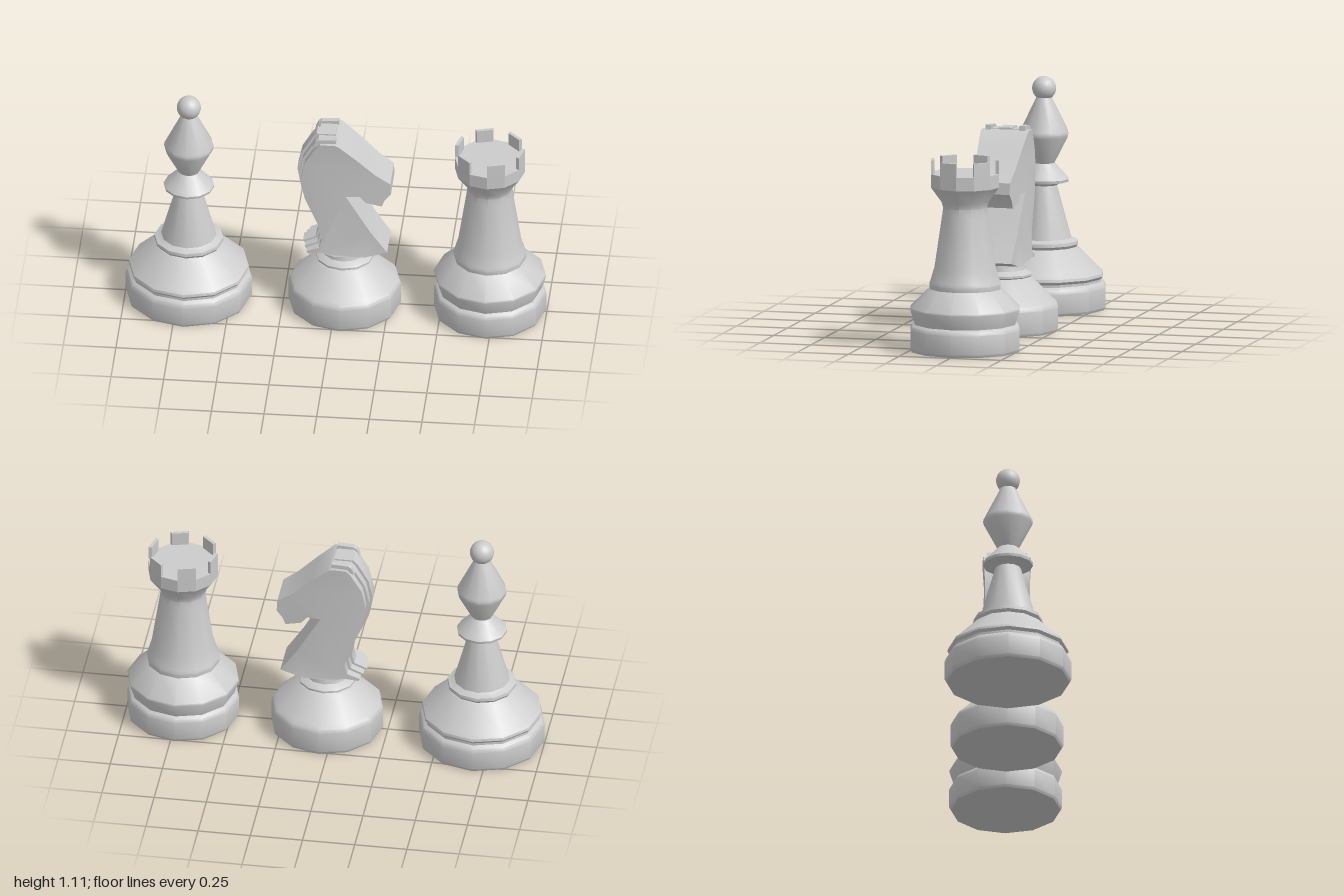
import * as THREE from 'three';
import { toCreasedNormals } from 'three/addons/utils/BufferGeometryUtils.js';

const SIDES = 12;
const material = new THREE.MeshStandardMaterial({ color: 0xcccccc });
const flatMaterial = new THREE.MeshStandardMaterial({ color: 0xcccccc, flatShading: true });

function addMesh(parent, name, geometry, mat = material) {
  const mesh = new THREE.Mesh(geometry, mat);
  mesh.name = name;
  parent.add(mesh);
  return mesh;
}

const vectors = (pts) => pts.map(([x, y]) => new THREE.Vector2(x, y));

// Turned part with twelve sides; profile runs from bottom to top as [radius, y]
function turned(profile) {
  return toCreasedNormals(new THREE.LatheGeometry(vectors(profile), SIDES), 0.6);
}

// Slab of an xy outline, centred on z = 0
function slab(points, halfWidth) {
  const geo = new THREE.ExtrudeGeometry(new THREE.Shape(vectors(points)), { depth: 2 * halfWidth, bevelEnabled: false });
  return geo.translate(0, 0, -halfWidth);
}

function createBishop() {
  const g = new THREE.Group();
  g.name = 'bishop';
  addMesh(g, 'bishopBase', turned([
    [0, 0.005], [0.292, 0.005], [0.3, 0.018], [0.3, 0.11], [0.293, 0.128], [0.276, 0.14],
    [0.276, 0.152], [0.287, 0.165], [0.284, 0.178], [0.268, 0.192], [0.165, 0.295], [0.155, 0.302],
    [0.165, 0.315], [0.163, 0.33], [0.14, 0.338], [0.13, 0.345],
  ]));
  addMesh(g, 'bishopBody', turned([
    [0.132, 0.343], [0.062, 0.595], [0.075, 0.604], [0.118, 0.612], [0.12, 0.625], [0.108, 0.637],
    [0.05, 0.7], [0.115, 0.825], [0.118, 0.84], [0.115, 0.855], [0.043, 1.0], [0.038, 1.012], [0, 1.012],
  ]));
  addMesh(g, 'bishopBall', new THREE.SphereGeometry(0.057, 24, 16)).position.y = 1.056;
  g.position.x = -0.7;
  return g;
}

function createRook() {
  const g = new THREE.Group();
  g.name = 'rook';
  addMesh(g, 'rookBase', turned([
    [0, 0.005], [0.26, 0.005], [0.267, 0.018], [0.267, 0.11], [0.26, 0.125], [0.245, 0.135],
    [0.267, 0.205], [0.265, 0.213], [0.172, 0.303],
  ]));
  addMesh(g, 'rookTower', turned([
    [0.172, 0.303], [0.174, 0.325], [0.168, 0.34], [0.15, 0.4], [0.112, 0.65], [0.107, 0.69],
    [0.115, 0.718], [0.166, 0.788],
  ]));
  addMesh(g, 'rookCrown', new THREE.LatheGeometry(
    vectors([[0.166, 0.788], [0.167, 0.853], [0, 0.853]]), SIDES), flatMaterial);

  // Battlements on every second side of the crown
  const outer = 0.167, inner = 0.15;
  for (let i = 0; i < 6; i++) {
    const a = -i * Math.PI / 3, b = a - Math.PI / 6;
    const at = (r, t) => [r * Math.cos(t), r * Math.sin(t)];
    const shape = new THREE.Shape(vectors([at(outer, b), at(outer, a), at(inner, a), at(inner, b)]));
    const geo = new THREE.ExtrudeGeometry(shape, { depth: 0.065, bevelEnabled: false });
    addMesh(g, 'battlement', geo.rotateX(-Math.PI / 2).translate(0, 0.853, 0), flatMaterial);
  }
  g.position.x = 0.73;
  return g;
}

function createKnight() {
  const g = new THREE.Group();
  g.name = 'knight';
  addMesh(g, 'knightBase', turned([
    [0, 0.005], [0.26, 0.005], [0.267, 0.018], [0.267, 0.122], [0.26, 0.138], [0.243, 0.152],
    [0.14, 0.255], [0.127, 0.262], [0.138, 0.268], [0.138, 0.278], [0.125, 0.287], [0.105, 0.297],
    [0.095, 0.335], [0.1, 0.36],
  ])).position.x = 0.04;

  // Back of the neck from crown to tail of the mane
  const back = [
    [-0.09, 0.966], [-0.11, 0.945], [-0.163, 0.855], [-0.182, 0.765], [-0.163, 0.66],
    [-0.123, 0.57], [-0.092, 0.5], [-0.082, 0.43], [-0.095, 0.385], [-0.155, 0.36], [-0.148, 0.348],
  ];
  const inset = (d) => back.map(([x, y]) => [x + d, y - d * 0.6]);

  // Head, neck and chest
  const body = slab([
    ...inset(0.022), [-0.06, 0.345], [0.0, 0.328], [0.14, 0.325], [0.25, 0.353], [0.17, 0.47],
    [0.11, 0.575], [0.055, 0.67], [0.12, 0.67], [0.15, 0.635], [0.225, 0.615], [0.238, 0.648],
    [0.268, 0.685], [0.265, 0.74], [0.195, 0.79], [0.1, 0.88], [0.02, 0.95], [0, 0.957],
  ], 0.116);
  const pos = body.attributes.position;
  for (let i = 0; i < pos.count; i++) {
    const x = pos.getX(i);
    pos.setZ(i, pos.getZ(i) * (1 - 0.8 * Math.max(0, x - 0.02) - 0.7 * Math.max(0, -x - 0.02)));
  }
  addMesh(g, 'horseBody', toCreasedNormals(body, 0.5));

  // Stepped mane: narrower layers stand further out
  for (const [halfWidth, d] of [[0.07, 0.011], [0.032, 0]]) {
    const inner = inset(0.06).reverse();
    addMesh(g, 'mane', toCreasedNormals(
      slab([[0, 0.966 - d * 0.6], ...inset(d), ...inner, [0, 0.9]], halfWidth), 0.5));
  }

  // Ears
  for (const side of [-1, 1]) {
    const ear = slab([[-0.105, 0.93], [-0.09, 0.962], [-0.075, 0.972], [0.005, 0.977], [0.008, 0.945]], 0.014);
    addMesh(g, 'ear', ear, flatMaterial).position.z = side * 0.083;
  }
  return g;
}

export function createModel() {
  const model = new THREE.Group();
  model.name = 'chessPieces';
  model.add(createBishop(), createKnight(), createRook());
  model.position.y = -0.005;
  const root = new THREE.Group();
  root.add(model);
  return root;
}
